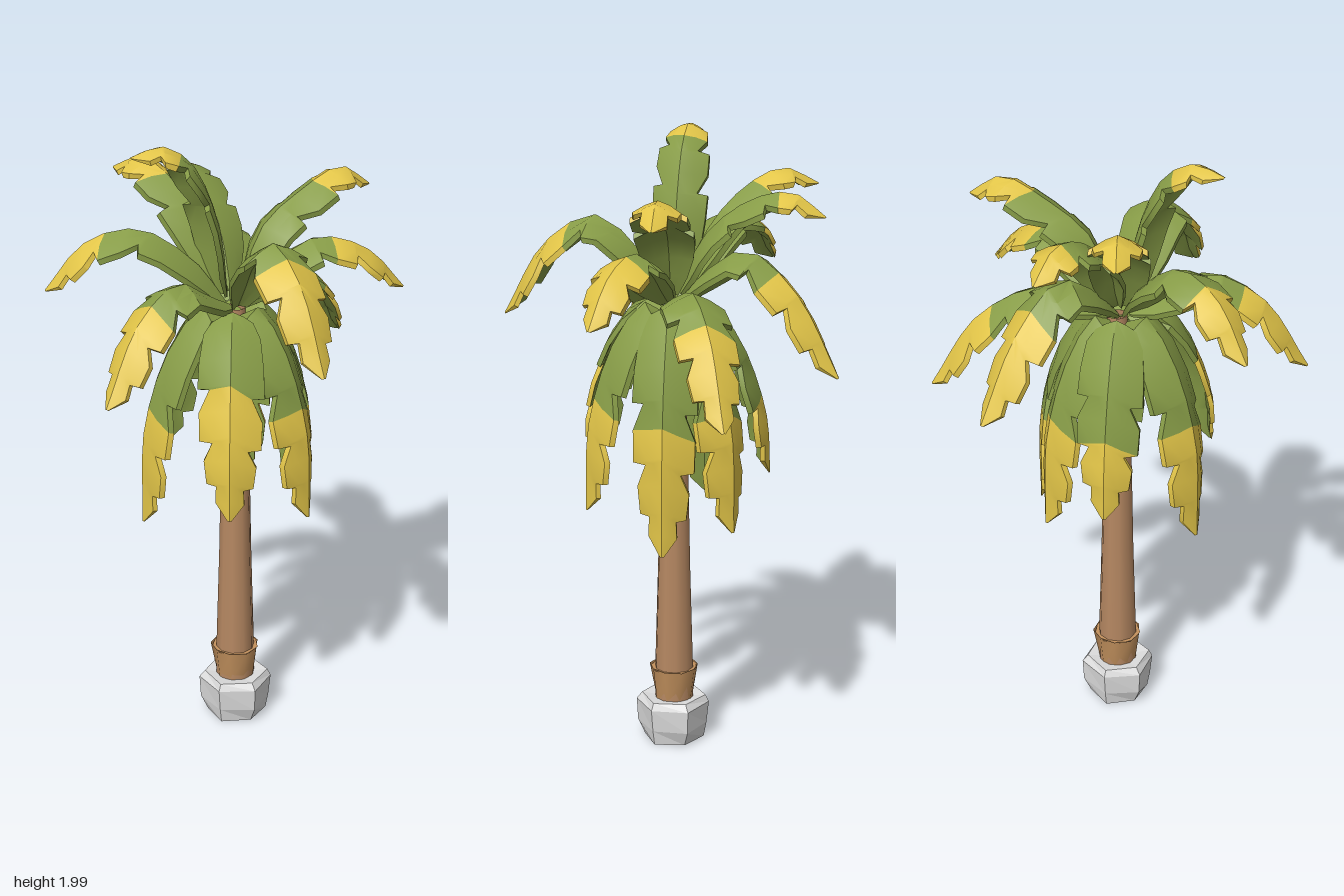
import * as THREE from 'three';
import { toCreasedNormals } from 'three/addons/utils/BufferGeometryUtils.js';

const paint = (name, color, extra = {}) => {
  const m = new THREE.MeshStandardMaterial({ color, ...extra });
  m.name = name;
  return m;
};

// leaf rows: [position on rib, position of edge, half width]; paired rows make torn notches
const LEAF_ROWS = [
  [0, 0, 0.024], [0.1, 0.1, 0.06], [0.2, 0.2, 0.083], [0.32, 0.33, 0.094],
  [0.43, 0.45, 0.097], [0.44, 0.454, 0.062], [0.54, 0.55, 0.092], [0.64, 0.67, 0.09],
  [0.65, 0.674, 0.052], [0.74, 0.755, 0.076], [0.83, 0.855, 0.068], [0.84, 0.859, 0.04],
  [0.92, 0.93, 0.042], [1, 1, 0.006],
];
const COLUMNS = [-1, -0.5, 0, 0.5, 1];
const THICKNESS = 0.018;

// bent, solid leaf with a raised rib, torn edges, a dry tip and a fresh underside
function leafGeometry(points, dryFrom, width) {
  const curve = new THREE.CatmullRomCurve3(points.map(p => new THREE.Vector3(...p)));
  const run = new THREE.Vector3().subVectors(curve.points.at(-1), curve.points[0]);
  const side = new THREE.Vector3(-run.z, 0, run.x).normalize();
  const top = [], under = [];
  for (const [ribT, edgeT, w] of LEAF_ROWS) {
    for (const u of COLUMNS) {
      const a = Math.abs(u);
      // the two halves are torn at slightly different places
      const shift = u < 0 ? 0.04 * Math.sin(Math.PI * ribT) : 0;
      const t = Math.min(1, ribT + (edgeT - ribT + shift) * a);
      const normal = new THREE.Vector3().crossVectors(side, curve.getTangentAt(t));
      const p = curve.getPointAt(t)
        .addScaledVector(side, u * w * width)
        .addScaledVector(normal, -0.5 * w * width * a ** 1.4);
      top.push(...p.toArray());
      under.push(...p.addScaledVector(normal, -THICKNESS * Math.min(1, w / 0.05)).toArray());
    }
  }
  const fresh = [], dry = [], n = COLUMNS.length, below = LEAF_ROWS.length * n;
  const quad = (list, a, b, c, d) => list.push(a, b, c, b, d, c);
  for (let i = 0; i < LEAF_ROWS.length - 1; i++) {
    const middle = (LEAF_ROWS[i][0] + LEAF_ROWS[i + 1][0]) / 2;
    const upper = middle < dryFrom ? fresh : dry;
    const first = i * n, last = first + n - 1;
    for (let a = first; a < last; a++) {
      quad(upper, a, a + 1, a + n, a + n + 1);
      quad(fresh, a + below, a + below + n, a + below + 1, a + below + n + 1);
    }
    // rims
    quad(upper, first, first + n, first + below, first + n + below);
    quad(upper, last, last + below, last + n, last + n + below);
  }
  const g = new THREE.BufferGeometry();
  g.setAttribute('position', new THREE.Float32BufferAttribute([...top, ...under], 3));
  g.setIndex([...fresh, ...dry]);
  const out = toCreasedNormals(g, 0.6);
  out.clearGroups();
  out.addGroup(0, fresh.length, 0);
  out.addGroup(fresh.length, dry.length, 1);
  return out;
}

// each leaf: tip, then shoulder points as [share of the run, height], start of dry part
const LEAVES = {
  upperLeaf: [
    { tip: [-0.335, 1.97, 0], via: [[0.16, 1.74], [0.42, 1.93], [0.7, 1.99]], dry: 0.75, width: 0.9 },
    { tip: [0.5, 1.77, -0.05], via: [[0.2, 1.69], [0.5, 1.79], [0.78, 1.84]], dry: 0.64, width: 0.95 },
    { tip: [0.02, 1.75, -0.48], via: [[0.2, 1.67], [0.5, 1.79], [0.78, 1.82]], dry: 0.76, width: 1 },
    { tip: [-0.21, 1.82, -0.42], via: [[0.2, 1.66], [0.45, 1.8], [0.75, 1.87]], dry: 0.63, width: 0.95 },
  ],
  middleLeaf: [
    { tip: [0.02, 1.41, 0.54], via: [[0.2, 1.63], [0.45, 1.73], [0.75, 1.64]], dry: 0.5, width: 1.05 },
    { tip: [0.53, 1.48, 0.13], via: [[0.2, 1.57], [0.48, 1.66], [0.78, 1.61]], dry: 0.5, width: 0.95 },
    { tip: [-0.53, 1.52, -0.23], via: [[0.2, 1.6], [0.5, 1.71], [0.78, 1.67]], dry: 0.6, width: 0.95 },
    { tip: [-0.53, 1.3, 0.23], via: [[0.2, 1.52], [0.45, 1.6], [0.75, 1.52]], dry: 0.56, width: 0.95 },
    { tip: [0.53, 1.2, -0.27], via: [[0.2, 1.51], [0.42, 1.54], [0.74, 1.44]], dry: 0.54, width: 1 },
    { tip: [0.17, 1.29, -0.55], via: [[0.2, 1.57], [0.45, 1.65], [0.75, 1.53]], dry: 0.53, width: 1 },
  ],
  lowerLeaf: [
    { tip: [0.285, 0.72, -0.03], dry: 0.53 },
    { tip: [-0.17, 0.89, 0.31], dry: 0.44 },
    { tip: [0.14, 0.81, 0.25], dry: 0.58 },
    { tip: [0.15, 0.77, -0.23], dry: 0.58 },
    { tip: [-0.3, 0.76, -0.05], dry: 0.58 },
    { tip: [-0.1, 0.9, -0.3], dry: 0.6 },
  ],
};
const DROOP = [[0.3, 1.47], [0.64, 1.36], [0.95, 1.1]];

// uneven ring of a round geometry, the same for coinciding vertices
function roughen(geometry, amount) {
  const p = geometry.attributes.position;
  for (let i = 0; i < p.count; i++) {
    const x = p.getX(i), y = p.getY(i), z = p.getZ(i);
    const k = 1 + amount * Math.sin(Math.atan2(z, x) * 3 + y * 30 + 1);
    p.setXYZ(i, x * k, y, z * k);
  }
  return geometry;
}

export function createModel() {
  const tree = new THREE.Group();
  tree.name = 'palmTree';
  const both = { side: THREE.DoubleSide };
  const green = paint('leafGreen', 0x879c47, both);
  const yellow = paint('dryYellow', 0xe2c548, both);
  const bark = paint('bark', 0xb68862, both);
  const tan = paint('collarTan', 0xc4925e, both);
  const stone = paint('stone', 0xdedede, { flatShading: true, ...both });
  const add = (name, geometry, material, x = 0, y = 0, z = 0) => {
    const mesh = new THREE.Mesh(geometry, material);
    mesh.name = name;
    mesh.position.set(x, y, z);
    tree.add(mesh);
  };

  // faceted stone foot
  const profile = [[0, 0], [0.098, 0], [0.114, 0.05], [0.12, 0.125], [0.105, 0.148], [0, 0.135]];
  const rock = new THREE.LatheGeometry(profile.map(p => new THREE.Vector2(...p)), 6, 0.1);
  add('stoneBase', roughen(rock, 0.05), stone, 0.01, 0, -0.005);

  // flared collar and tapering, hollow trunk
  const collar = roughen(new THREE.CylinderGeometry(0.079, 0.06, 0.12, 9, 1, true), 0.04);
  add('trunkCollar', toCreasedNormals(collar, 0.9), tan, 0.01, 0.19, -0.008);
  add('collarTop', new THREE.RingGeometry(0.04, 0.077, 9).rotateX(-Math.PI / 2), tan, 0.01, 0.246, -0.008);
  const trunk = [[0.064, 0.13], [0.063, 0.26], [0.053, 0.6], [0.046, 0.95], [0.038, 1.25], [0.032, 1.45]];
  add('trunk', new THREE.LatheGeometry(trunk.map(p => new THREE.Vector2(...p)), 10), bark, 0.01, 0, -0.008);

  // three tiers of leaves around the crown
  const rootHeight = { upperLeaf: 1.5, middleLeaf: 1.47, lowerLeaf: 1.43 };
  for (const [name, leaves] of Object.entries(LEAVES)) {
    leaves.forEach(({ tip, via = DROOP, dry, width = 1.05 }, i) => {
      const reach = Math.hypot(tip[0], tip[2]);
      const along = (s, y) => [tip[0] * s, y, tip[2] * s];
      const path = [along(0.022 / reach, rootHeight[name]), ...via.map(v => along(...v)), tip];
      add(name + (i + 1), leafGeometry(path, dry, width), [green, yellow]);
    });
  }
  return tree;
}
